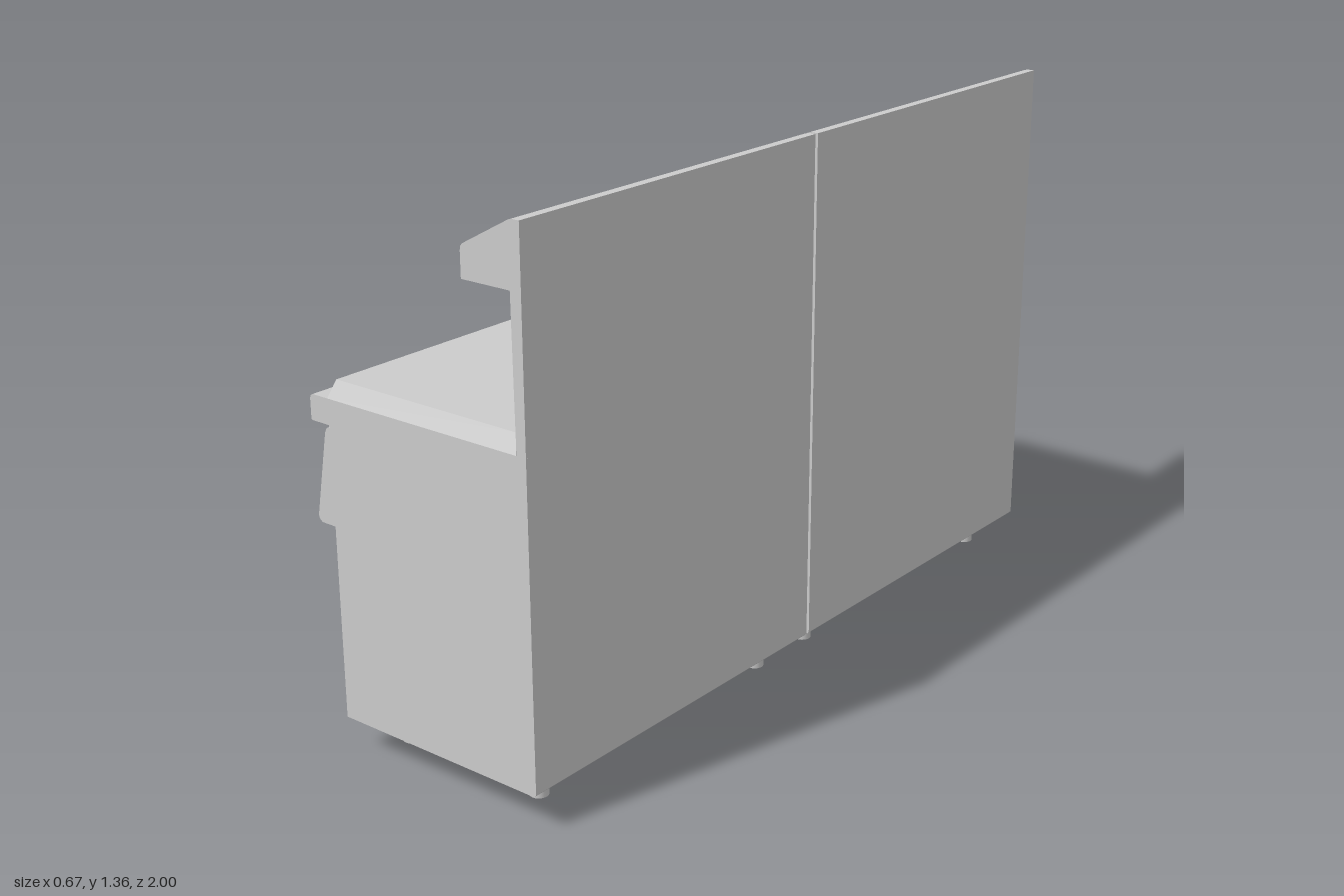
import * as THREE from 'three';

const material = new THREE.MeshStandardMaterial({ color: 0xcccccc });
const DEPTH = 0.995; // length of one unit along z

function add(parent, name, geometry) {
  const mesh = new THREE.Mesh(geometry, material);
  mesh.name = name;
  parent.add(mesh);
  return mesh;
}

// Side profile in x/y, swept along the unit's full length
function sweep(points) {
  const shape = new THREE.Shape(points.map(([x, y]) => new THREE.Vector2(x, y)));
  return new THREE.ExtrudeGeometry(shape, { depth: DEPTH, bevelEnabled: false });
}

// Cooking plate: a box whose top is pulled in on all four sides
function plateGeometry() {
  const geometry = new THREE.BoxGeometry(1, 1, 1);
  const p = geometry.attributes.position;
  for (let i = 0; i < p.count; i++) {
    const top = p.getY(i) > 0, back = p.getX(i) > 0, far = p.getZ(i) > 0;
    const x = back ? (top ? 0.285 : 0.301) : (top ? -0.25 : -0.261);
    const z = far ? (top ? DEPTH - 0.02 : DEPTH) : (top ? 0.016 : 0);
    p.setXYZ(i, x, top ? 0.906 : 0.865, z);
  }
  geometry.computeVertexNormals();
  return geometry;
}

// Knob along local +y: collar, tapered grip and a pointer ridge
function createKnob() {
  const knob = new THREE.Group();
  knob.name = 'knob';
  add(knob, 'knobCollar', new THREE.CylinderGeometry(0.034, 0.034, 0.016, 16)).position.y = 0.008;
  add(knob, 'knobGrip', new THREE.CylinderGeometry(0.026, 0.03, 0.028, 12)).position.y = 0.03;
  add(knob, 'knobPointer', new THREE.BoxGeometry(0.012, 0.022, 0.01)).position.set(0.029, 0.031, 0);
  return knob;
}

function createUnit() {
  const unit = new THREE.Group();
  unit.name = 'cookerUnit';

  add(unit, 'cabinet', sweep([
    [-0.26, 0.087], [0.322, 0.087], [0.328, 0.093], [0.328, 0.865], [-0.26, 0.865],
  ]));
  add(unit, 'frontRail', sweep([
    [-0.26, 0.803], [-0.26, 0.865], [-0.308, 0.865], [-0.314, 0.862],
    [-0.317, 0.855], [-0.317, 0.805], [-0.314, 0.803],
  ]));
  add(unit, 'controlPanel', sweep([
    [-0.26, 0.562], [-0.26, 0.797], [-0.269, 0.794], [-0.275, 0.782],
    [-0.313, 0.578], [-0.311, 0.569], [-0.302, 0.562],
  ]));
  // Upright back panel with the hooded shelf on top
  add(unit, 'backsplash', sweep([
    [0.302, 0.865], [0.328, 0.865], [0.328, 1.36], [0.308, 1.36], [0.298, 1.357],
    [0.171, 1.288], [0.166, 1.282], [0.164, 1.273], [0.164, 1.213], [0.298, 1.213],
  ]));
  add(unit, 'cookingPlate', plateGeometry());

  // Knobs stand square to the sloping panel
  const outward = new THREE.Vector3(-0.983, 0.183, 0);
  for (const z of [0.115, 0.437, 0.675]) {
    const knob = createKnob();
    knob.position.set(-0.289, 0.709, z);
    knob.rotation.z = Math.atan2(-outward.x, outward.y);
    unit.add(knob);
  }

  // Round feet
  for (const x of [-0.183, 0.217]) {
    for (const z of [0.067, 0.867]) {
      add(unit, 'foot', new THREE.CylinderGeometry(0.023, 0.023, 0.09, 20)).position.set(x, 0.045, z);
    }
  }
  return unit;
}

export function createModel() {
  const model = new THREE.Group();
  model.name = 'cookerPair';
  // Two identical units side by side with a narrow gap
  for (const z of [0.005, -1]) {
    const unit = createUnit();
    unit.position.set(-0.002, 0, z);
    model.add(unit);
  }
  return model;
}
